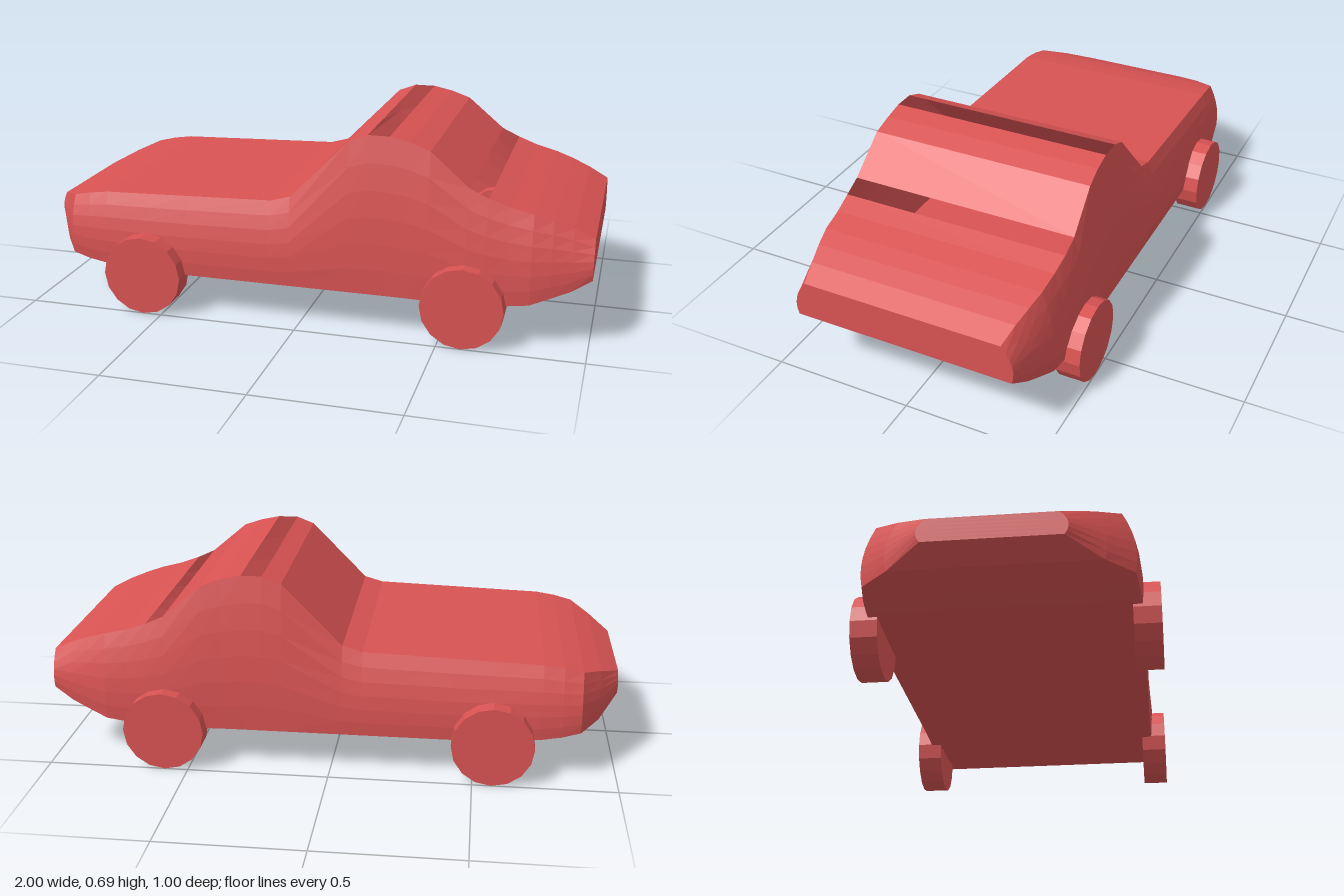
import * as THREE from 'three';

const RED = 0xd95353;

// Body stations along the car: [x, bottom y, top y, bottom half width, top half width]
const STATIONS = [
  [-1, 0.25, 0.33, 0.22, 0.205],
  [-0.93, 0.195, 0.365, 0.335, 0.305],
  [-0.865, 0.18, 0.39, 0.425, 0.39],
  [-0.8, 0.165, 0.405, 0.435, 0.397],
  [-0.73, 0.155, 0.415, 0.44, 0.4],
  [-0.57, 0.145, 0.42, 0.443, 0.4],
  [-0.42, 0.14, 0.425, 0.443, 0.4],
  [-0.11, 0.14, 0.435, 0.443, 0.4],
  [-0.04, 0.14, 0.455, 0.443, 0.4],
  [0.17, 0.14, 0.67, 0.443, 0.4],
  [0.235, 0.14, 0.695, 0.443, 0.4],
  [0.31, 0.14, 0.695, 0.443, 0.4],
  [0.38, 0.14, 0.68, 0.444, 0.401],
  [0.45, 0.14, 0.655, 0.446, 0.405],
  [0.585, 0.14, 0.54, 0.451, 0.411],
  [0.65, 0.142, 0.51, 0.45, 0.41],
  [0.72, 0.15, 0.485, 0.446, 0.405],
  [0.8, 0.16, 0.465, 0.442, 0.4],
  [0.865, 0.185, 0.445, 0.428, 0.387],
  [0.93, 0.21, 0.42, 0.412, 0.372],
  [1, 0.25, 0.385, 0.393, 0.357],
];
const ROWS = 6; // steps up each bulged side
const OPEN_TOPS = [0.235, 0.585]; // spans left open on the roof and rear window

// Closed cross-section: up the +z side, then down the -z side
function section([x, yb, yt, wb, wt]) {
  const side = [];
  for (let j = 0; j <= ROWS; j++) {
    const t = j / ROWS;
    const z = THREE.MathUtils.lerp(wb, wt, t) + 0.08 * t * (1 - t);
    side.push([x, THREE.MathUtils.lerp(yb, yt, t), z]);
  }
  return [...side, ...side.map(([px, y, z]) => [px, y, -z]).reverse()];
}

function bodyGeometry() {
  const pos = [];
  const quad = (a, b, c, d) => pos.push(...a, ...b, ...c, ...a, ...c, ...d);
  const rings = STATIONS.map(section);
  const n = rings[0].length;

  // Skin between neighbouring sections
  for (let i = 0; i < rings.length - 1; i++) {
    const [r, s] = [rings[i], rings[i + 1]];
    for (let j = 0; j < n; j++) {
      if (j === ROWS && OPEN_TOPS.includes(STATIONS[i][0])) continue;
      const k = (j + 1) % n;
      quad(r[j], s[j], s[k], r[k]);
    }
  }

  // Flat nose and tail
  const nose = rings[0], tail = rings[rings.length - 1];
  for (let j = 0; j < ROWS; j++) {
    const k = n - 1 - j;
    quad(nose[j], nose[j + 1], nose[k - 1], nose[k]);
    quad(tail[k], tail[k - 1], tail[j + 1], tail[j]);
  }

  const g = new THREE.BufferGeometry();
  g.setAttribute('position', new THREE.Float32BufferAttribute(pos, 3));
  g.computeVertexNormals();
  return g;
}

export function createModel() {
  const car = new THREE.Group();
  car.name = 'car';
  const material = new THREE.MeshStandardMaterial({
    color: RED, flatShading: true, side: THREE.DoubleSide,
  });

  const body = new THREE.Mesh(bodyGeometry(), material);
  body.name = 'body';
  car.add(body);

  // Four solid wheels, partly sunk into the sides
  const wheel = new THREE.CylinderGeometry(0.143, 0.143, 0.09, 16).rotateX(Math.PI / 2);
  for (const [end, x] of [['front', -0.567], ['rear', 0.583]]) {
    for (const [side, s] of [['Left', -1], ['Right', 1]]) {
      const mesh = new THREE.Mesh(wheel, material);
      mesh.name = end + side + 'Wheel';
      mesh.position.set(x, 0.143, s * 0.455);
      car.add(mesh);
    }
  }
  return car;
}
